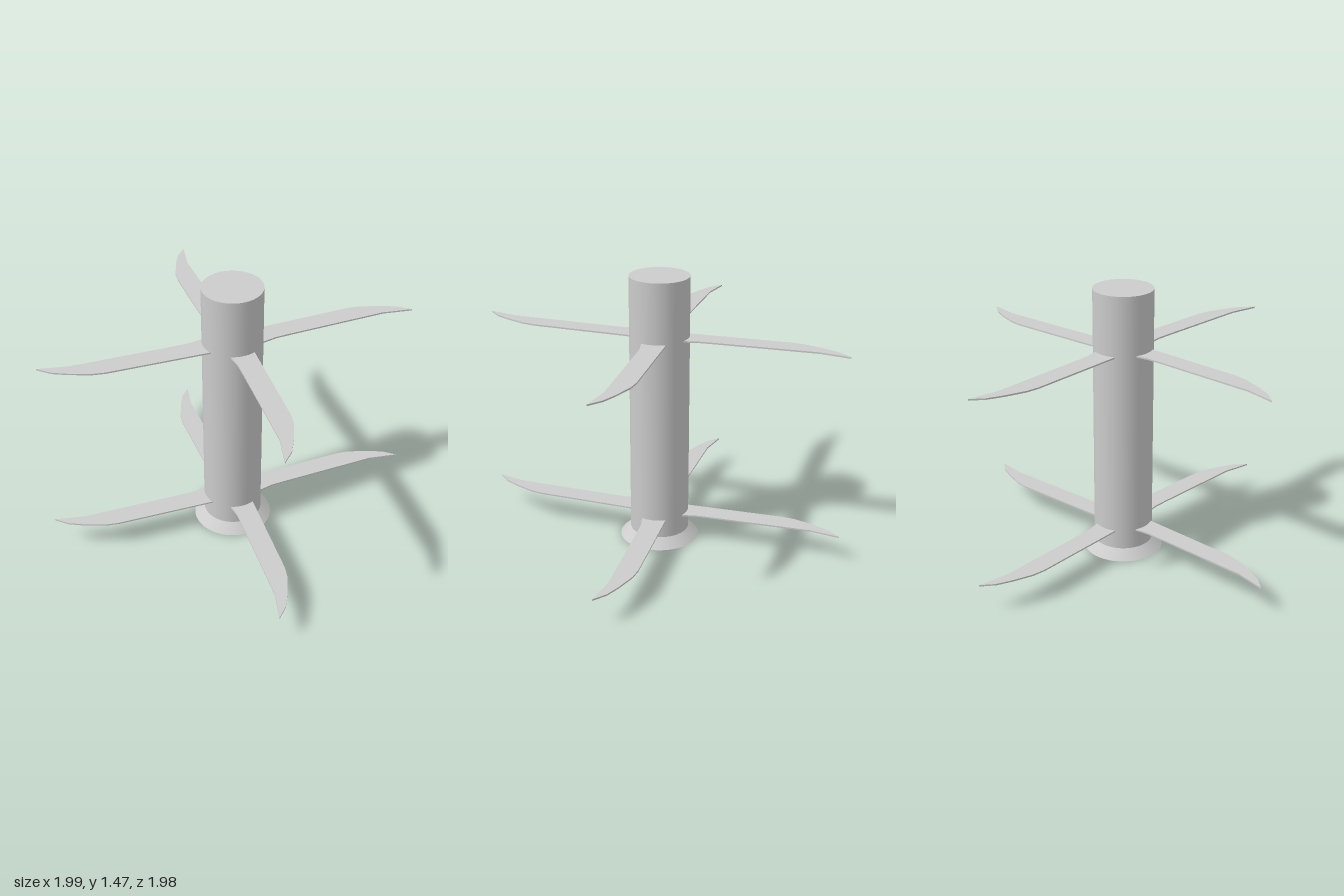
import * as THREE from 'three';

const material = new THREE.MeshStandardMaterial({ color: 0xcccccc });

// Blade outline seen from above as [outward, sideways], swept back at the tip
const OUTLINE = [
  [0.14, -0.06], [0.22, -0.045], [0.3, -0.043], [0.84, -0.04], [0.998, -0.07],
  [0.935, -0.015], [0.86, 0.02], [0.75, 0.06], [0.68, 0.07], [0.3, 0.07], [0.14, 0.07],
];
const THICKNESS = 0.008;

function bladeGeometry() {
  const shape = new THREE.Shape(OUTLINE.map(([x, y]) => new THREE.Vector2(x, y)));
  const geometry = new THREE.ExtrudeGeometry(shape, { depth: THICKNESS, bevelEnabled: false });
  geometry.rotateX(-Math.PI / 2);
  return geometry;
}

function addMesh(parent, name, geometry, y) {
  const mesh = new THREE.Mesh(geometry, material);
  mesh.name = name;
  mesh.position.y = y;
  parent.add(mesh);
  return mesh;
}

export function createModel() {
  const model = new THREE.Group();
  model.name = 'bladedPole';

  // Central pole and its flared foot
  const pole = addMesh(model, 'pole', new THREE.CylinderGeometry(0.158, 0.158, 1.42, 40), 0.76);
  const foot = addMesh(model, 'flaredFoot', new THREE.CylinderGeometry(0.158, 0.213, 0.05, 40), 0.025);
  pole.position.x = foot.position.x = -0.003;

  // Two tiers of four blades, each blade set slightly higher and turned a little short
  const geometry = bladeGeometry();
  const blades = [
    { name: 'leftBlade', angle: 0, lift: 0 },
    { name: 'backBlade', angle: 88.6, lift: 0.004 },
    { name: 'rightBlade', angle: 176.8, lift: 0.008 },
    { name: 'frontBlade', angle: 265.2, lift: 0.011 },
  ];
  for (const [tierName, height] of [['lowerTier', 0.143], ['upperTier', 1.139]]) {
    const tier = new THREE.Group();
    tier.name = tierName;
    tier.position.y = height;
    for (const { name, angle, lift } of blades) {
      addMesh(tier, name, geometry, lift).rotation.y = THREE.MathUtils.degToRad(angle);
    }
    model.add(tier);
  }
  return model;
}
